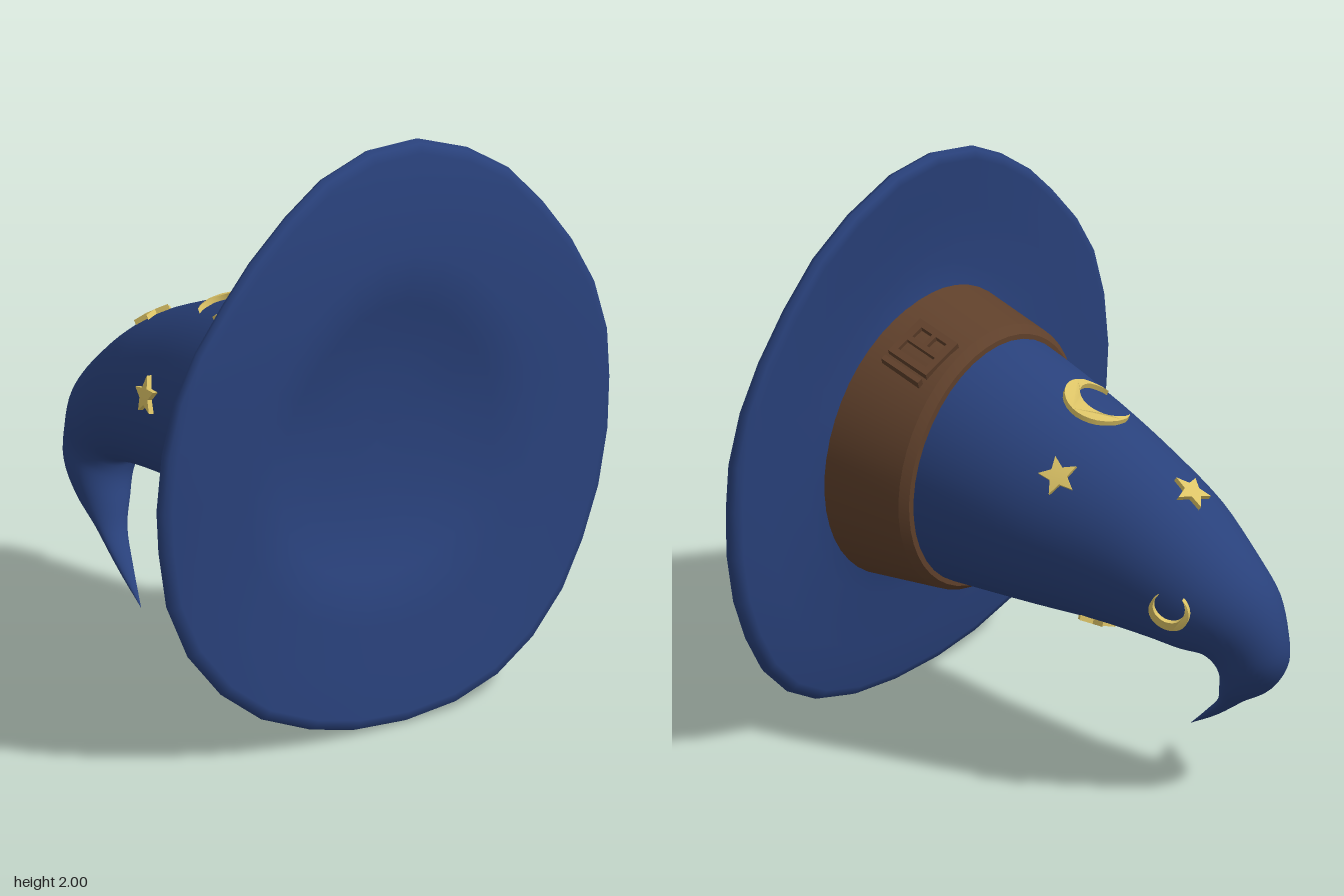
import * as THREE from 'three';
import { toCreasedNormals } from 'three/addons/utils/BufferGeometryUtils.js';

const V = (x, y, z) => new THREE.Vector3(x, y, z);
const paint = (name, color) => {
  const m = new THREE.MeshStandardMaterial({ color });
  m.name = name;
  return m;
};

// Skin a list of closed rings, each an array of Vector3
function skin(rings) {
  const n = rings[0].length, pos = [], idx = [];
  rings.forEach(r => r.forEach(p => pos.push(p.x, p.y, p.z)));
  for (let i = 0; i < rings.length - 1; i++) {
    for (let j = 0; j < n; j++) {
      const k = (j + 1) % n, a = i * n + j, b = i * n + k;
      idx.push(a, a + n, b, b, a + n, b + n);
    }
  }
  const g = new THREE.BufferGeometry();
  g.setAttribute('position', new THREE.Float32BufferAttribute(pos, 3));
  g.setIndex(idx);
  g.computeVertexNormals();
  return g;
}

// Oval ring between an upper and a lower point, with its own centre x and half width
function oval(zt, yt, zb, yb, cx, rx, n, dent = () => 1) {
  const ring = [];
  for (let j = 0; j < n; j++) {
    const a = j / n * Math.PI * 2, d = dent(a), s = Math.sin(a) * d;
    ring.push(V(cx + rx * Math.cos(a) * d, (yt + yb) / 2 + s * (yt - yb) / 2, (zt + zb) / 2 + s * (zt - zb) / 2));
  }
  return ring;
}

function starShape(R) {
  const pts = [];
  for (let i = 0; i < 10; i++) {
    const a = i * Math.PI / 5, r = i % 2 ? R * 0.45 : R;
    pts.push(new THREE.Vector2(r * Math.cos(a), r * Math.sin(a)));
  }
  return new THREE.Shape(pts);
}

// Crescent bulging toward +x, with long thin horns
function moonShape(R) {
  const phi = 2.5, d = R * 0.28, pts = [], N = 24;
  const tx = R * Math.cos(phi) + d, ty = R * Math.sin(phi);
  const r = Math.hypot(tx, ty), psi = Math.atan2(ty, tx);
  for (let i = 0; i <= N; i++) {
    const a = -phi + 2 * phi * i / N;
    pts.push(new THREE.Vector2(R * Math.cos(a), R * Math.sin(a)));
  }
  for (let i = 1; i < N; i++) {
    const a = psi - 2 * psi * i / N;
    pts.push(new THREE.Vector2(r * Math.cos(a) - d, r * Math.sin(a)));
  }
  return new THREE.Shape(pts);
}

// Wrap a shape onto the crown near p; its local x axis points along dir
function applique(crown, shape, p, dir) {
  const at = crown.geometry.attributes, v = V(), n = V();
  let best = Infinity;
  for (let i = 0; i < at.position.count; i++) {
    const d = v.fromBufferAttribute(at.position, i).distanceTo(p);
    if (d < best) { best = d; n.fromBufferAttribute(at.normal, i); }
  }
  n.normalize();
  const ex = dir.clone().addScaledVector(n, -dir.dot(n)).normalize();
  const ey = n.clone().cross(ex);
  const g = new THREE.ExtrudeGeometry(shape, { depth: 0.028, bevelEnabled: false });
  const pos = g.attributes.position, ray = new THREE.Raycaster();
  for (let i = 0; i < pos.count; i++) {
    const q = p.clone().addScaledVector(ex, pos.getX(i)).addScaledVector(ey, pos.getY(i));
    ray.set(q.clone().addScaledVector(n, 0.25), n.clone().negate());
    const hit = ray.intersectObject(crown)[0];
    const base = hit && hit.distance < 0.4 ? hit.point : q;
    base.addScaledVector(n, pos.getZ(i) - 0.01);
    pos.setXYZ(i, base.x, base.y, base.z);
  }
  return toCreasedNormals(g, 0.6);
}

export function createModel() {
  const blue = paint('blue felt', 0x29417b);
  const brown = paint('brown leather', 0x5f402b);
  const gold = paint('gold', 0xdcc366);
  blue.side = brown.side = THREE.DoubleSide;
  const hat = new THREE.Group();
  hat.name = 'hat';
  const add = (name, geo, mat, parent = hat) => {
    const m = new THREE.Mesh(geo, mat);
    m.name = name;
    parent.add(m);
    return m;
  };

  // Brim: uneven round outline, gently warped, with a shallow hollow on the front
  const rim = [0, 2, .2, 1.99, .4, 1.91, .56, 1.8, .69, 1.65, .8, 1.49, .88, 1.33, .925, 1.15,
    .927, .98, .91, .8, .86, .61, .78, .44, .68, .29, .54, .16, .38, .07, .2, .02,
    0, .005, -.2, .02, -.37, .06, -.56, .14, -.71, .26, -.83, .42, -.9, .6, -.925, .8,
    -.93, .95, -.905, 1.15, -.85, 1.33, -.76, 1.48, -.64, 1.62, -.52, 1.74, -.36, 1.86, -.2, 1.95];
  const profile = [[.4, -.07], [.5, -.047], [.6, -.034], [.8, -.028], [.96, -.03], [.99, -.02], [1, 0], [.99, .02],
    [.96, .03], [.8, .034], [.64, .036], [.55, .03], [.47, .011], [.37, -.014], [.25, -.032], [.12, -.04], [0, -.042]];
  const warp = (x, h) => 0.674 + 0.03 * x - 0.02 * x * h + 0.011 * (h * h - x * x) - 0.04 * h - 0.055 * h ** 3;
  add('brim', skin(profile.map(([t, off]) => {
    const ring = [];
    for (let k = 0; k < rim.length; k += 2) {
      const x = rim[k] * t, y = 0.97 + (rim[k + 1] - 0.97) * t;
      ring.push(V(x, y, warp(x, y - 1) + off));
    }
    return ring;
  })), blue);

  // Crown: sections as upper z, y, lower z, y, centre x, half width
  const sections = [
    [.5, 1.40, .52, .51, -.01, .43], [.32, 1.37, .36, .515, -.01, .41], [0, 1.275, .03, .53, -.013, .355],
    [-.28, 1.165, -.2, .535, -.026, .293], [-.5, 1.045, -.4, .527, -.04, .248], [-.68, .89, -.52, .513, -.055, .2],
    [-.78, .76, -.58, .505, -.08, .165], [-.825, .62, -.59, .47, -.1, .13], [-.82, .5, -.585, .43, -.12, .115],
    [-.75, .39, -.56, .37, -.14, .09], [-.62, .3, -.52, .29, -.17, .055], [-.47, .19, -.43, .2, -.205, .028],
    [-.322, .1, -.322, .1, -.24, 0]];
  const upper = new THREE.CatmullRomCurve3(sections.map(s => V(s[5], s[1], s[0])));
  const lower = new THREE.CatmullRomCurve3(sections.map(s => V(s[4], s[3], s[2])));
  const crownRings = [];
  for (let i = 0; i <= 48; i++) {
    const u = upper.getPoint(i / 48), l = lower.getPoint(i / 48);
    crownRings.push(oval(u.z, u.y, l.z, l.y, l.x, Math.max(u.x, 0), 40));
  }
  const crown = add('crown', skin(crownRings), blue);

  // Leather band with a bevelled edge and a small fold on one side
  const fold = a => 1 - 0.06 * Math.exp(-(((a - Math.PI) / 0.13) ** 2));
  const bandRings = [[.64, 1.487, .68, .455, 0, .497], [.345, 1.416, .385, .482, -.005, .45],
    [.318, 1.388, .358, .503, -.005, .427], [.318, 1.35, .358, .535, -.005, .395]]
    .map(s => oval(...s, 48, fold));
  add('band', toCreasedNormals(skin(bandRings), 0.5), brown);

  // Buckle: framed plate with openings and a keeper bar
  const buckle = new THREE.Group();
  buckle.name = 'buckle';
  const bz = V(.46, .87, -.22).normalize();
  const bx = V(1, 0, 0).addScaledVector(bz, -bz.x).normalize();
  buckle.quaternion.setFromRotationMatrix(new THREE.Matrix4().makeBasis(bx, bz.clone().cross(bx), bz));
  buckle.position.set(.215, 1.383, .46);
  hat.add(buckle);
  const rect = (S, x0, y0, x1, y1) =>
    new S([[x0, y0], [x1, y0], [x1, y1], [x0, y1]].map(q => new THREE.Vector2(...q)));
  const frame = rect(THREE.Shape, -.09, -.085, .07, .085);
  frame.holes.push(rect(THREE.Path, -.065, -.057, -.02, -.008), rect(THREE.Path, -.065, .008, -.02, .057),
    rect(THREE.Path, 0, -.062, .045, .062));
  const frameMesh = add('buckleFrame', new THREE.ExtrudeGeometry(frame, { depth: .036, bevelEnabled: false }), brown, buckle);
  frameMesh.position.z = -.015;
  add('buckleKeeper', new THREE.BoxGeometry(.02, .165, .046), brown, buckle).position.set(.098, 0, -.005);

  // Stars: position, direction of one point, radius
  [[V(-.06, 1.06, -.48), V(.3, 0, -1), .07], [V(.23, 1.125, -.145), V(.1, 1, .2), .068],
    [V(-.33, .94, -.18), V(0, 1, -.2), .068], [V(.08, .54, -.18), V(.1, 0, 1), .068]]
    .forEach(([p, d, r]) => add('star', applique(crown, starShape(r), p, d), gold));

  // Crescent moons
  add('topMoon', applique(crown, moonShape(.117), V(-.08, 1.28, -.065), V(.94, 0, .33)), gold);
  add('sideMoon', applique(crown, moonShape(.07), V(.15, .735, -.57), V(0, -1, .1)), gold);
  return hat;
}
